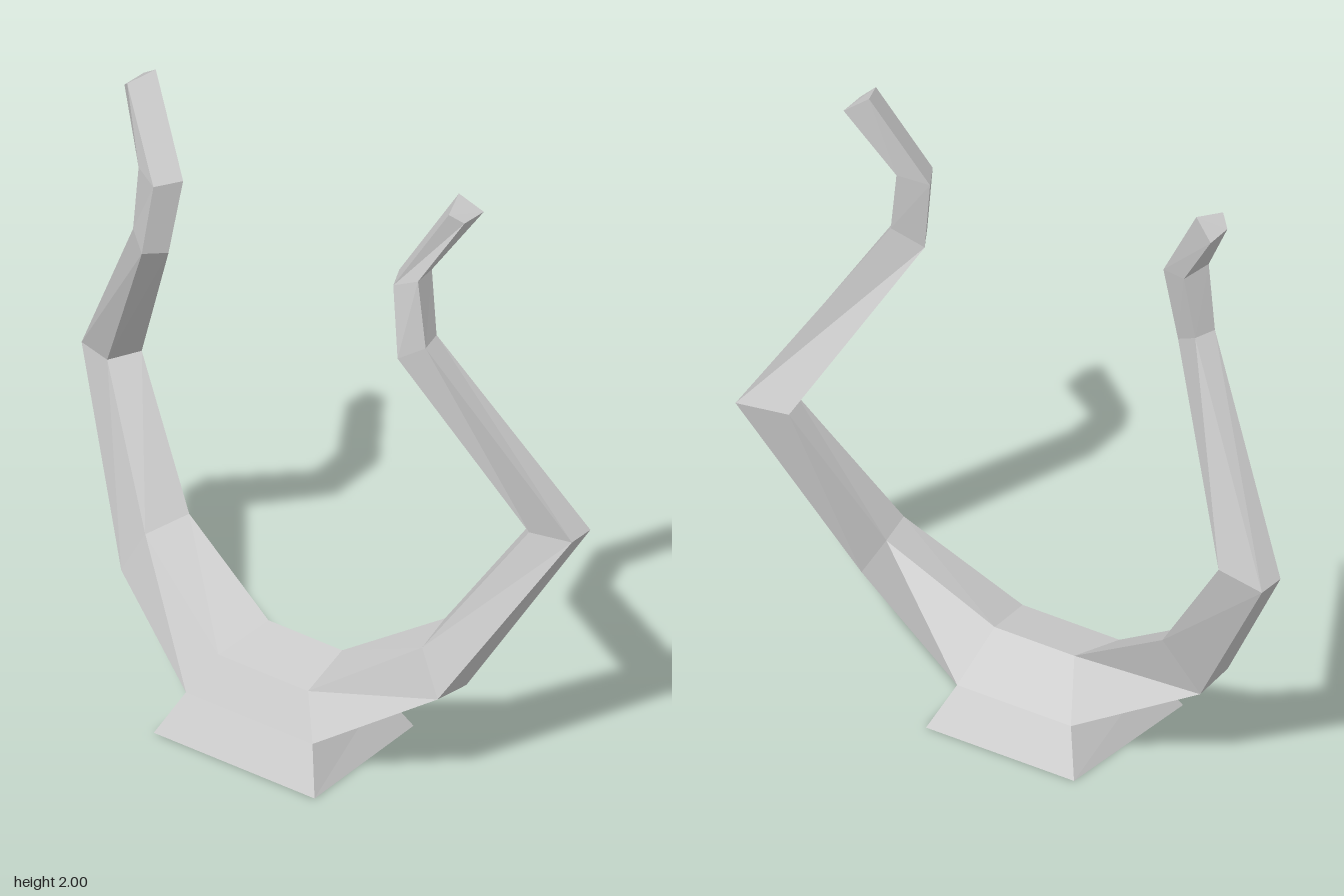
import * as THREE from 'three';

const material = new THREE.MeshStandardMaterial({ color: 0xcccccc, flatShading: true });

// Skins a row of four-cornered rings (counter-clockwise seen from the far end) and caps both ends.
function loft(name, rings) {
  const positions = [];
  const quad = (a, b, c, d) => positions.push(...a, ...b, ...c, ...a, ...c, ...d);
  for (let i = 0; i < rings.length - 1; i++) {
    for (let j = 0; j < 4; j++) {
      const k = (j + 1) % 4;
      quad(rings[i][j], rings[i][k], rings[i + 1][k], rings[i + 1][j]);
    }
  }
  const [a, b, c, d] = rings[0];
  quad(d, c, b, a);
  quad(...rings[rings.length - 1]);
  const geometry = new THREE.BufferGeometry();
  geometry.setAttribute('position', new THREE.Float32BufferAttribute(positions, 3));
  geometry.computeVertexNormals();
  const mesh = new THREE.Mesh(geometry, material);
  mesh.name = name;
  return mesh;
}

// Ring symmetric about x = 0, from its front and back [half width, y, z].
const baseRing = ([fx, fy, fz], [bx, by, bz]) =>
  [[-fx, fy, fz], [fx, fy, fz], [bx, by, bz], [-bx, by, bz]];

const mirrorRing = (ring) => ring.map(([x, y, z]) => [-x, y, z]).reverse();

export function createModel() {
  const group = new THREE.Group();
  group.name = 'hornStand';

  // Flared foot, narrowing to the waist and on to the saddle between the arms
  const waistFront = [0.24, 0.13, 0.19], waistBack = [0.2, 0.13, -0.18];
  const topFront = [0.17, 0.255, 0.125], topBack = [0.14, 0.295, -0.07];
  group.add(loft('pedestal', [
    baseRing([0.305, 0, 0.26], [0.26, 0, -0.255]),
    baseRing(waistFront, waistBack),
    baseRing(topFront, topBack),
  ]));

  // Arm sections from waist to tip: inner front, outer front, outer back, inner back
  const arm = [
    [topFront, waistFront, waistBack, topBack],
    [[0.525, 0.49, 0.03], [0.6, 0.35, 0.05], [0.595, 0.335, -0.09], [0.485, 0.505, -0.125]],
    [[0.8, 0.91, -0.13], [0.93, 0.905, -0.17], [0.925, 0.905, -0.262], [0.755, 0.91, -0.235]],
    [[0.485, 1.485, 0.095], [0.555, 1.525, 0.05], [0.535, 1.53, -0.025], [0.445, 1.47, 0.02]],
    [[0.455, 1.715, 0.078], [0.53, 1.745, 0.055], [0.505, 1.735, -0.04], [0.41, 1.715, -0.005]],
    [[0.61, 1.98, 0.01], [0.645, 1.95, -0.02], [0.645, 1.95, -0.11], [0.575, 2, -0.08]],
  ];
  group.add(loft('leftArm', arm));
  group.add(loft('rightArm', arm.map(mirrorRing)));

  return group;
}
